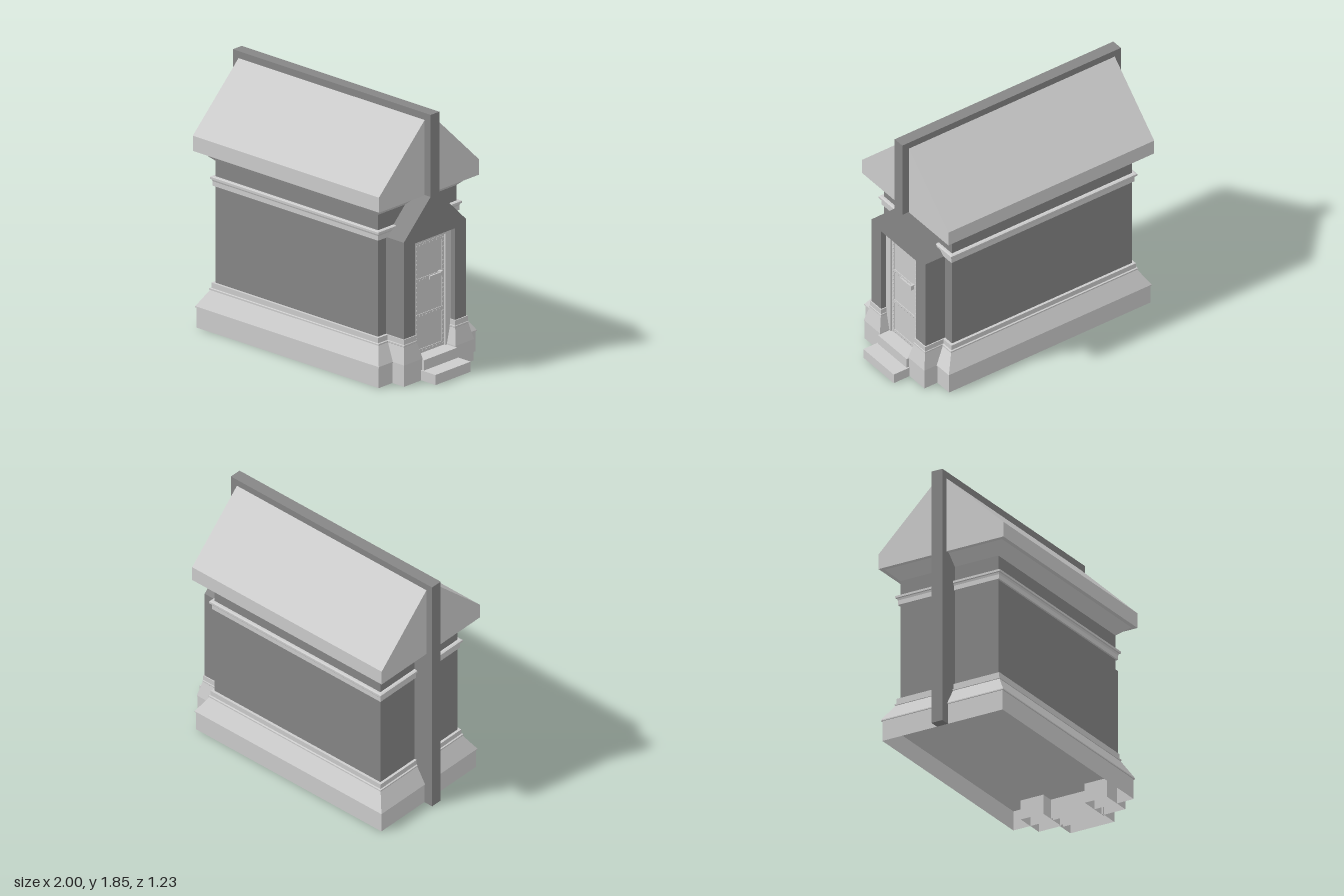
import * as THREE from 'three';

export function createModel() {
  const lightStone = new THREE.MeshStandardMaterial({ color: 0xcccccc, side: THREE.DoubleSide });
  const darkStone = new THREE.MeshStandardMaterial({ color: 0x868686, side: THREE.DoubleSide });

  const root = new THREE.Group();
  root.name = 'tombHouse';
  const house = new THREE.Group();
  house.name = 'house';
  house.rotation.y = 0.155;
  house.position.set(-0.002, 0, -0.013);
  root.add(house);

  const add = (name, geo, mat) => {
    const m = new THREE.Mesh(geo, mat);
    m.name = name;
    house.add(m);
    return m;
  };

  // Box given by its minimum and maximum corners
  const box = (name, mat, x0, x1, y0, y1, z0, z1) => {
    const g = new THREE.BoxGeometry(x1 - x0, y1 - y0, z1 - z0);
    g.translate((x0 + x1) / 2, (y0 + y1) / 2, (z0 + z1) / 2);
    return add(name, g, mat);
  };

  // Step without an underside
  const step = (name, x0, x1, height, halfWidth) => {
    const g = box(name, lightStone, x0, x1, 0, height, -halfWidth, halfWidth).geometry;
    const ix = Array.from(g.index.array);
    ix.splice(18, 6);
    g.setIndex(ix);
    g.clearGroups();
  };

  // Mitred moulding around a rectangle; profile is [offset, y], going upward
  const moulding = (name, mat, cx, cz, hx, hz, profile, scale = 1) => {
    const pos = [];
    const ring = ([o, y]) => [[1, 1], [1, -1], [-1, -1], [-1, 1]]
      .map(([sx, sz]) => [cx + sx * (hx + o * scale), y, cz + sz * (hz + o * scale)]);
    for (let i = 0; i < profile.length - 1; i++) {
      const a = ring(profile[i]), b = ring(profile[i + 1]);
      for (let k = 0; k < 4; k++) {
        const n = (k + 1) % 4;
        for (const p of [a[k], a[n], b[n], a[k], b[n], b[k]]) pos.push(...p);
      }
    }
    const g = new THREE.BufferGeometry();
    g.setAttribute('position', new THREE.Float32BufferAttribute(pos, 3));
    g.computeVertexNormals();
    return add(name, g, mat);
  };

  // Cross-section in (z, y), extruded along the length from x0 to x1
  const extrudeLength = (name, mat, pts, x0, x1) => {
    const s = new THREE.Shape(pts.map(p => new THREE.Vector2(...p)));
    const g = new THREE.ExtrudeGeometry(s, { depth: x1 - x0, bevelEnabled: false });
    g.rotateY(Math.PI / 2);
    g.translate(x0, 0, 0);
    return add(name, g, mat);
  };

  // Plinth, walls, cornice and flared eaves
  const cx = -0.084, hx = 0.743, hz = 0.384;
  const plinth = [[0.088, 0], [0.088, 0.145], [0.095, 0.145], [0.095, 0.153], [0.025, 0.268],
    [0.029, 0.27], [0.029, 0.28], [0.019, 0.283], [0.019, 0.32], [0, 0.32]];
  moulding('plinth', lightStone, cx, 0, hx, hz, plinth);
  moulding('walls', darkStone, cx, 0, hx, hz, [[0, 0.3], [0, 1.19]]);
  moulding('flaredEaves', lightStone, cx, 0, hx, hz, [[0, 1.19], [0.078, 1.264]]);
  moulding('cornice', lightStone, cx, 0, hx, hz, [[0, 1.012], [0.013, 1.012], [0.013, 1.045],
    [0.018, 1.058], [0.026, 1.061], [0.026, 1.076], [0.015, 1.08], [0, 1.08]]);
  const floor = new THREE.PlaneGeometry(1.66, 0.942);
  floor.rotateX(Math.PI / 2);
  floor.translate(cx, 0.14, 0);
  add('floor', floor, lightStone);

  // Gabled roof
  extrudeLength('roof', lightStone, [[-0.49, 1.262], [0.49, 1.262], [0.49, 1.37],
    [0.043, 1.8], [-0.043, 1.8], [-0.49, 1.37]], cx - 0.85, cx + 0.85);

  // Ridge wall that turns down the rear end as a full-height pier
  const spine = new THREE.Shape([[-0.985, 0], [-0.915, 0], [-0.915, 0.16], [-0.8, 0.16],
    [-0.8, 1.3], [0.7, 1.3], [0.7, 1.85], [-0.985, 1.85]].map(p => new THREE.Vector2(...p)));
  const spineGeo = new THREE.ExtrudeGeometry(spine, { depth: 0.086, bevelEnabled: false });
  spineGeo.translate(0, 0, -0.043);
  add('ridgeAndRearPier', spineGeo, darkStone);

  // Portal with sloping shoulders and a door opening
  const half = [[0.197, 0.145], [0.305, 0.145], [0.305, 1.01], [0.043, 1.265], [0.043, 1.85]];
  const mirror = half.map(([z, y]) => [-z, y]).reverse();
  extrudeLength('portal', darkStone,
    [[0.197, 0.975], ...half, ...mirror, [-0.197, 0.975]], 0.6, 0.82);

  // Moulded feet of the portal jambs
  for (const s of [1, -1]) {
    moulding('jambPlinth', lightStone, 0.74, s * 0.251, 0.08, 0.054, plinth, 0.39);
  }

  // Steps
  step('upperStep', 0.72, 0.872, 0.145, 0.162);
  step('lowerStep', 0.84, 0.985, 0.072, 0.172);

  // Door frame and leaf
  const dx = 0.765;
  box('doorLeaf', lightStone, 0.757, dx, 0.145, 0.945, -0.16, 0.16);
  for (const s of [1, -1]) {
    const a = s * 0.146, b = s * 0.197;
    box('doorJamb', lightStone, 0.757, 0.78, 0.145, 0.975, Math.min(a, b), Math.max(a, b));
  }
  box('doorHead', lightStone, 0.757, 0.78, 0.94, 0.975, -0.146, 0.146);

  // Riveted straps on the door
  const rivet = (y, z) => box('rivet', lightStone, dx, dx + 0.009, y - 0.004, y + 0.004, z - 0.004, z + 0.004);
  for (const s of [1, -1]) {
    box('doorStile', lightStone, dx, dx + 0.005, 0.147, 0.938, s * 0.13 - 0.013, s * 0.13 + 0.013);
    for (let i = 0; i < 24; i++) rivet(0.165 + i * 0.0328, s * 0.13);
  }
  for (const y of [0.165, 0.415, 0.67, 0.92]) {
    box('doorRail', lightStone, dx, dx + 0.005, y - 0.013, y + 0.013, -0.117, 0.117);
    for (let i = -3; i <= 3; i++) rivet(y, i * 0.033);
  }

  // Door handle
  box('handleMount', lightStone, dx, dx + 0.03, 0.655, 0.69, -0.108, -0.09);
  box('handleLever', lightStone, dx + 0.018, dx + 0.03, 0.66, 0.685, -0.108, 0.02);

  return root;
}
